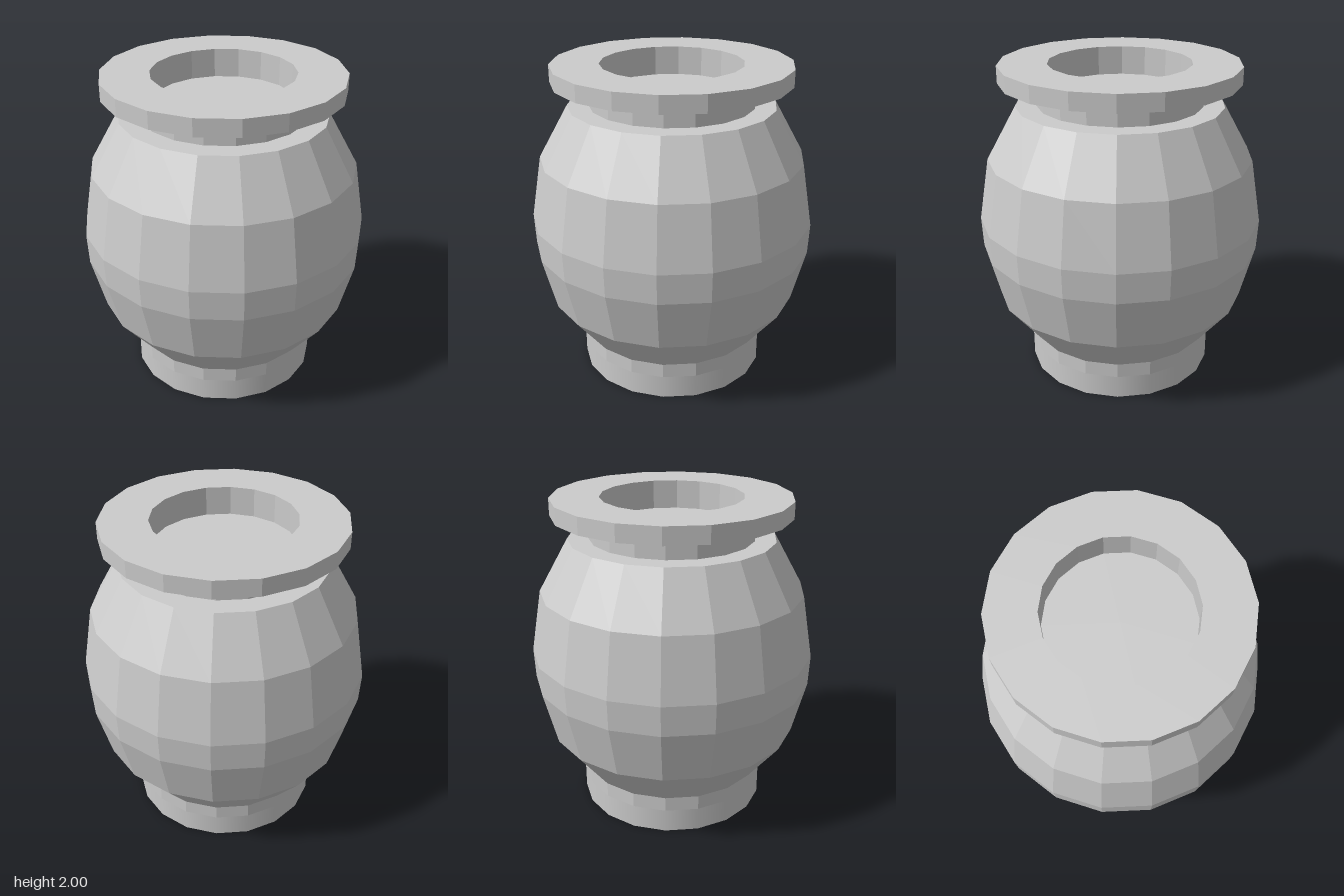
import * as THREE from 'three';

const SIDES = 18;

// Revolve a [radius, height] profile (listed bottom to top on the outside), one corner on the x axis
function turned(name, profile, flatShading = true) {
  const points = profile.map(([r, y]) => new THREE.Vector2(r, y));
  const geometry = new THREE.LatheGeometry(points, SIDES, Math.PI / 2);
  const material = new THREE.MeshStandardMaterial({ color: 0xcccccc, flatShading });
  const mesh = new THREE.Mesh(geometry, material);
  mesh.name = name;
  return mesh;
}

export function createModel() {
  const vase = new THREE.Group();
  vase.name = 'vase';

  // Foot: flat underside, softly shaded lower band, faceted upper band
  vase.add(turned('footUnderside', [[0, 0], [0.594, 0]]));
  vase.add(turned('footLowerBand', [[0.594, 0], [0.594, 0.15]], false));
  vase.add(turned('footUpperBand', [[0.594, 0.15], [0.594, 0.243]]));

  // Faceted belly with a flat shoulder running in to the neck
  vase.add(turned('belly', [
    [0.594, 0.243], [0.797, 0.505], [0.882, 0.845], [0.89, 1.035],
    [0.823, 1.425], [0.64, 1.75], [0.51, 1.75],
  ]));

  vase.add(turned('neck', [[0.51, 1.75], [0.51, 1.895]]));

  // Wide rim whose inner wall drops into the shallow mouth
  vase.add(turned('rim', [
    [0.51, 1.895], [0.736, 1.895], [0.736, 2], [0.438, 2], [0.438, 1.82],
  ]));
  vase.add(turned('mouthFloor', [[0.438, 1.82], [0, 1.82]]));

  return vase;
}
